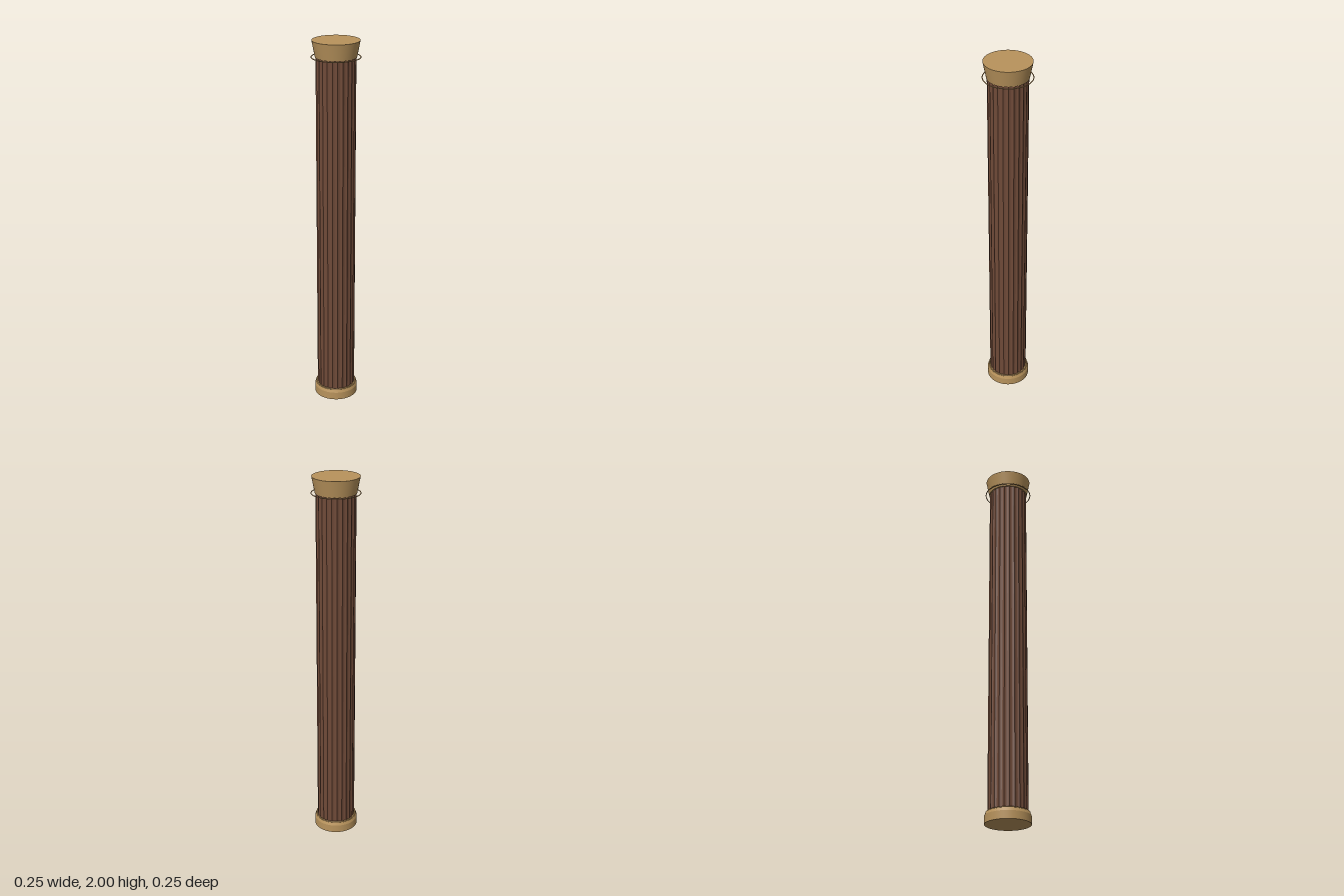
import * as THREE from 'three';

const wood = new THREE.MeshStandardMaterial({ color: 0x6f4a38, flatShading: true });
const gold = new THREE.MeshStandardMaterial({ color: 0xb8935c });

function add(group, name, geometry, material, y = 0) {
  const mesh = new THREE.Mesh(geometry, material);
  mesh.name = name;
  mesh.position.y = y;
  group.add(mesh);
  return mesh;
}

// Cylinder standing on y = 0
function drum(top, bottom, height) {
  return new THREE.CylinderGeometry(top, bottom, height, 48).translate(0, height / 2, 0);
}

// Thin hoop lying flat
function hoop(radius, tube) {
  return new THREE.TorusGeometry(radius, tube, 8, 64).rotateX(Math.PI / 2);
}

// Shaft outline with shallow scalloped flutes
function flutedShaft(radius, depth, flutes, height) {
  const steps = 6;
  const points = [];
  for (let i = 0; i < flutes * steps; i++) {
    const a = (i / (flutes * steps)) * Math.PI * 2;
    const r = radius - depth * Math.sin(((i % steps) / steps) * Math.PI);
    points.push(new THREE.Vector2(Math.cos(a) * r, Math.sin(a) * r));
  }
  const geometry = new THREE.ExtrudeGeometry(new THREE.Shape(points), { depth: height, bevelEnabled: false });
  return geometry.rotateX(-Math.PI / 2);
}

export function createModel() {
  const column = new THREE.Group();
  column.name = 'column';

  // Base: straight plinth, sloped shoulder and a small moulding
  add(column, 'basePlinth', drum(0.118, 0.118, 0.042), gold);
  add(column, 'baseShoulder', drum(0.112, 0.118, 0.016), gold, 0.042);
  add(column, 'baseMoulding', hoop(0.108, 0.004), gold, 0.06);

  // Fluted shaft
  add(column, 'shaft', flutedShaft(0.103, 0.005, 24, 1.87), wood, 0.05);

  // Capital: flared drum with a thin hoop at its foot
  add(column, 'capital', drum(0.123, 0.106, 0.086), gold, 1.914);
  add(column, 'capitalHoop', hoop(0.125, 0.0025), gold, 1.914);

  return column;
}
